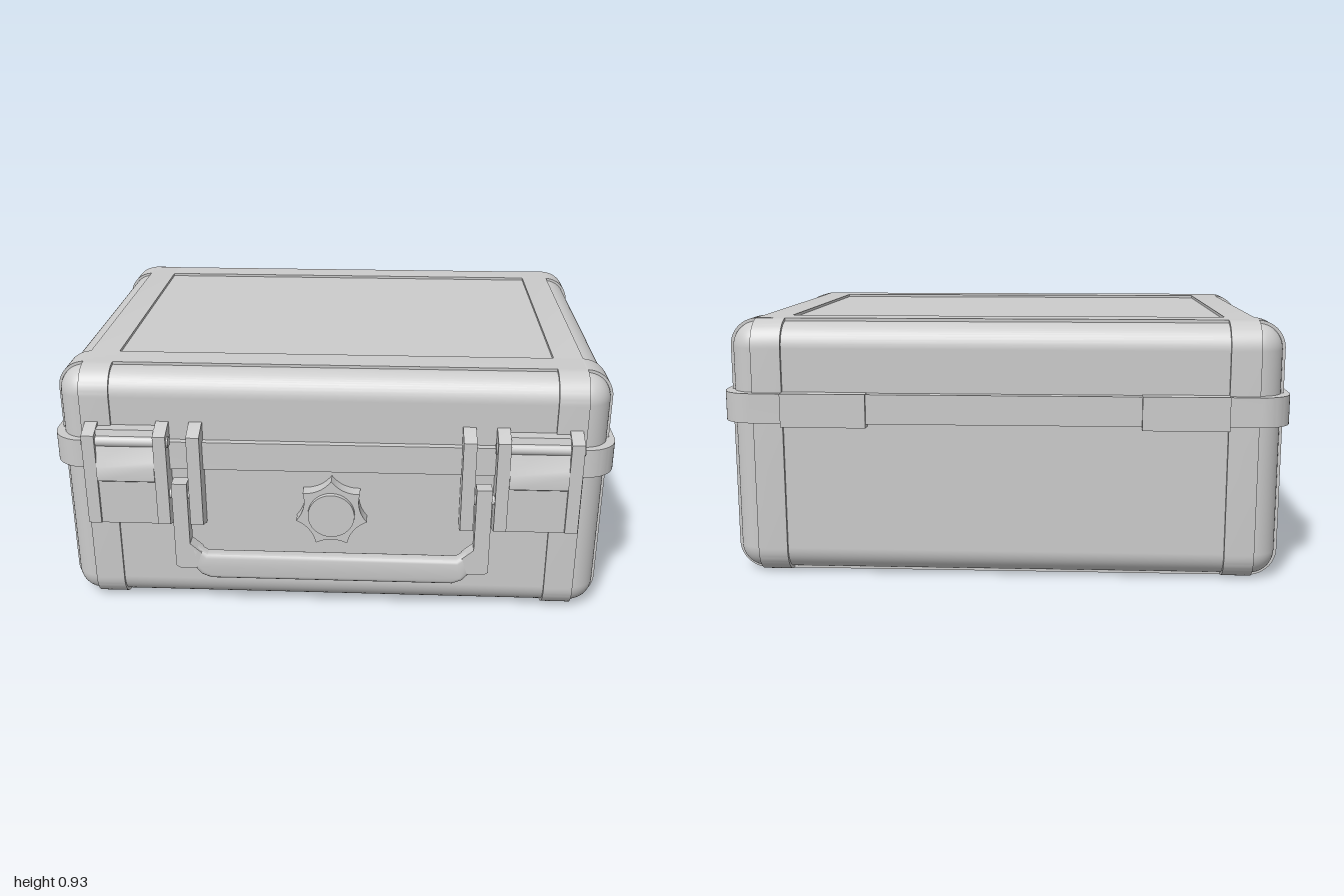
import * as THREE from 'three';
import { toCreasedNormals } from 'three/addons/utils/BufferGeometryUtils.js';
import { RoundedBoxGeometry } from 'three/addons/geometries/RoundedBoxGeometry.js';

const grey = new THREE.MeshStandardMaterial({ color: 0xcccccc });

export function createModel() {
  const group = new THREE.Group();

  const add = (name, geometry) => {
    const mesh = new THREE.Mesh(geometry, grey);
    mesh.name = name;
    group.add(mesh);
    return mesh;
  };

  const polygon = (points) => new THREE.Shape(points.map(([x, y]) => new THREE.Vector2(x, y)));

  const roundedRect = (x0, x1, y0, y1, r) => {
    const s = new THREE.Shape();
    s.moveTo(x0 + r, y0);
    s.absarc(x1 - r, y0 + r, r, -Math.PI / 2, 0);
    s.absarc(x1 - r, y1 - r, r, 0, Math.PI / 2);
    s.absarc(x0 + r, y1 - r, r, Math.PI / 2, Math.PI);
    s.absarc(x0 + r, y0 + r, r, Math.PI, Math.PI * 1.5);
    return s;
  };

  const extrude = (shape, depth, bevel = 0) => toCreasedNormals(new THREE.ExtrudeGeometry(shape, {
    depth, curveSegments: 10, bevelEnabled: bevel > 0,
    bevelSize: bevel, bevelThickness: bevel, bevelOffset: -bevel, bevelSegments: 3,
  }), 0.6);

  // Extrudes along x; the shape's own x axis holds -z
  const extrudeX = (shape, x0, x1) =>
    extrude(shape, x1 - x0).rotateY(Math.PI / 2).translate(x0, 0, 0);
  const sideProfile = (points) => polygon(points.map(([z, y]) => [-z, y]));

  const box = (x0, x1, y0, y1, z0, z1) => new THREE.BoxGeometry(x1 - x0, y1 - y0, z1 - z0)
    .translate((x0 + x1) / 2, (y0 + y1) / 2, (z0 + z1) / 2);

  // Rounded shell
  add('shell', new RoundedBoxGeometry(1.94, 0.905, 1.42, 6, 0.09)).position.set(0, 0.4625, -0.02);

  // Raised bands wrapping the shell in both directions
  for (const s of [-1, 1]) {
    const x = s * 0.8325;
    add('lengthBand', extrudeX(roundedRect(-0.7, 0.742, 0, 0.925, 0.1), x - 0.0525, x + 0.0525));
  }
  for (const [z0, z1] of [[0.49, 0.6], [-0.65, -0.545]]) {
    add('crossBand', extrude(roundedRect(-0.98, 0.98, 0, 0.925, 0.1), z1 - z0).translate(0, 0, z0));
  }

  // Belt around the lid seam
  add('seamBelt', extrude(roundedRect(-1, 1, -0.715, 0.763, 0.11), 0.105)
    .rotateX(-Math.PI / 2).translate(0, 0.565, 0));

  // Side plates shared by latches and handle brackets
  const cheek = sideProfile([
    [0.68, 0.74], [0.705, 0.735], [0.767, 0.71], [0.767, 0.37], [0.705, 0.345], [0.68, 0.345],
  ]);
  // Latch cover: the upper flap leans out over the lower plate
  const latch = sideProfile([
    [0.68, 0.722], [0.735, 0.722], [0.762, 0.61], [0.772, 0.59], [0.772, 0.54],
    [0.755, 0.53], [0.755, 0.365], [0.68, 0.365],
  ]);

  for (const s of [-1, 1]) {
    const span = (a, b) => (s > 0 ? [a, b] : [-b, -a]);

    for (const [a, b] of [[0.825, 0.87], [0.575, 0.62]]) {
      add('latchCheek', extrudeX(cheek, ...span(a, b)));
    }
    add('handleBracket', extrudeX(cheek, ...span(0.457, 0.503)));
    add('latchPlate', extrudeX(latch, ...span(0.62, 0.825)));
    add('latchPin', new THREE.CylinderGeometry(0.02, 0.02, 0.306, 16)
      .rotateZ(Math.PI / 2).translate(s * 0.7225, 0.68, 0.737));
    add('handlePin', new THREE.CylinderGeometry(0.018, 0.018, 0.14, 16)
      .rotateZ(Math.PI / 2).translate(s * 0.535, 0.48, 0.737));

    // Handle arm with a foot that steps in to the grip
    const arm = [[0.51, 0.53], [0.565, 0.53], [0.565, 0.2], [0.55, 0.19], [0.49, 0.19],
      [0.47, 0.255], [0.51, 0.29]].map(([x, y]) => [s * x, y]);
    add('handleArm', extrude(polygon(arm), 0.054).translate(0, 0, 0.712));

    // Rear hinge plate
    add('hinge', box(...span(0.48, 0.78), 0.553, 0.672, -0.775, -0.7));
  }

  // Handle grip, rounded and flared at its ends
  add('handleGrip', extrude(polygon([
    [-0.44, 0.145], [0.44, 0.145], [0.475, 0.16], [0.5, 0.19], [0.51, 0.285],
    [0.45, 0.245], [-0.45, 0.245], [-0.51, 0.285], [-0.5, 0.19], [-0.475, 0.16],
  ]), 0.02, 0.016).translate(0, 0, 0.73));

  // Pressure valve: seven-pointed scalloped knob with a round cap
  const star = new THREE.Shape();
  const at = (k, r) => [r * Math.sin(k * Math.PI / 7), r * Math.cos(k * Math.PI / 7)];
  star.moveTo(...at(0, 0.13));
  for (let k = 0; k < 7; k++) {
    star.quadraticCurveTo(...at(2 * k + 1, 0.088), ...at(2 * k + 2, 0.13));
  }
  add('valveKnob', extrude(star, 0.06).translate(0, 0.41, 0.68));
  add('valveCap', new THREE.CylinderGeometry(0.083, 0.087, 0.08, 32).rotateX(Math.PI / 2))
    .position.set(0, 0.41, 0.716);

  return group;
}
